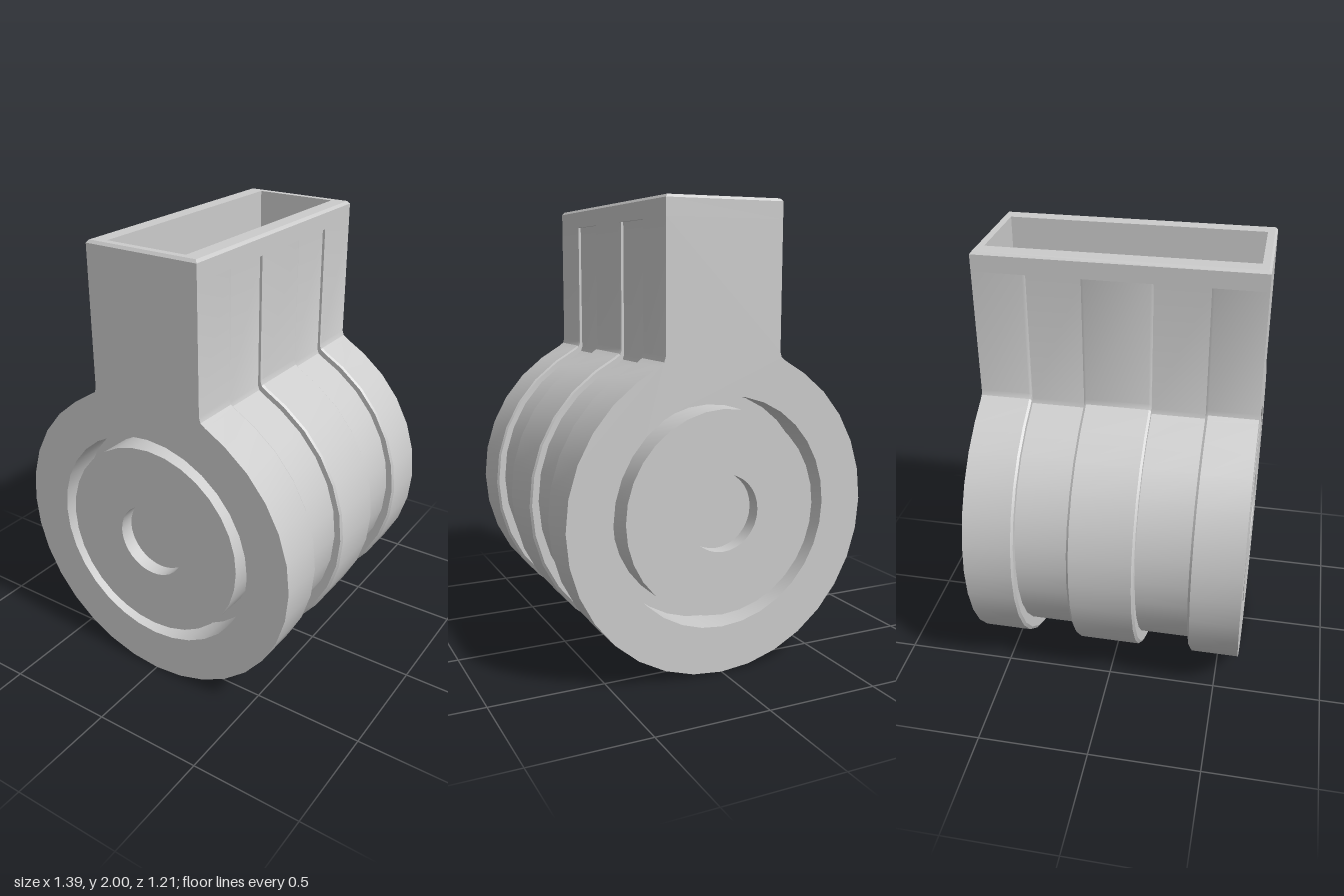
import * as THREE from 'three';
import { toCreasedNormals } from 'three/addons/utils/BufferGeometryUtils.js';

const R = 0.697, HALF = 0.605, COLLAR_Y = 1.915, SEG = 32;
const material = new THREE.MeshStandardMaterial({ color: 0xcccccc });

function part(name, geometry) {
  const mesh = new THREE.Mesh(toCreasedNormals(geometry, 0.5), material);
  mesh.name = name;
  return mesh;
}

// Skin through rows of points; rows may close on themselves
function skin(rows, closed) {
  const n = rows[0].length, index = [];
  for (let r = 0; r < rows.length - 1; r++) {
    for (let i = 0; i < (closed ? n : n - 1); i++) {
      const j = (i + 1) % n;
      const a = r * n + i, b = r * n + j, c = a + n, d = b + n;
      index.push(a, b, c, b, d, c);
    }
  }
  const g = new THREE.BufferGeometry();
  g.setAttribute('position', new THREE.Float32BufferAttribute(rows.flat(2), 3));
  g.setIndex(index);
  return g;
}

// Keyhole outline: neck sides, small fillets and round drum, clockwise from upper right
function outline() {
  const neck = [[0.267, COLLAR_Y], [0.267, 1.37], [0.274, 1.348], [0.295, 1.332]];
  const pts = [...neck];
  for (let k = 5; k >= -21; k--) {
    const a = (k / SEG) * Math.PI * 2;
    pts.push([R * Math.cos(a), R + R * Math.sin(a)]);
  }
  return pts.concat(neck.map(([x, y]) => [-x, y]).reverse());
}

export function createModel() {
  const model = new THREE.Group();
  const profile = outline();

  // Body: three raised bands with chamfered edges, two sunken bands (0 = raised, 1 = sunken)
  const half = [[HALF, 0], [0.39, 0], [0.38, 0.22], [0.38, 1], [0.147, 1], [0.147, 0.22], [0.137, 0]];
  const sections = half.concat(half.map(([z, t]) => [-z, t]).reverse());
  const rows = sections.map(([z, t]) => profile.map(([x, y]) => [
    x * (1 - 0.055 * t),
    y === COLLAR_Y ? y : 1 + (y - 1) * (1 - 0.075 * t),
    z,
  ]));
  model.add(part('bandedBody', skin(rows, false)));

  // Collar at the neck top, with the hollow feed opening
  const levels = [
    [0.19, COLLAR_Y, 0.565], [0.267, COLLAR_Y, HALF], [0.267, 1.988, HALF], [0.257, 2, 0.595],
    [0.19, 2, 0.565], [0.19, 1.3, 0.565], [0, 1.3, 0],
  ];
  const rings = levels.map(([w, y, d]) => [[w, y, d], [w, y, -d], [-w, y, -d], [-w, y, d]]);
  model.add(part('neckCollar', skin(rings, true)));

  // End faces: keyhole plate, ring groove, hub disc and central socket
  const plate = new THREE.Shape(profile.map(([x, y]) => new THREE.Vector2(x, y)));
  const opening = new THREE.Path();
  opening.absarc(0, R + 0.005, 0.497, 0, Math.PI * 2, true);
  plate.holes.push(opening);
  const hubProfile = [
    [0.497, 0], [0.497, -0.15], [0.443, -0.15], [0.443, 0], [0.167, 0], [0.167, -0.065], [0, -0.065],
  ].map(([x, y]) => new THREE.Vector2(x, y));

  for (const side of ['front', 'back']) {
    const end = new THREE.Group();
    end.name = side + 'End';
    const face = part(side + 'Plate', new THREE.ShapeGeometry(plate, SEG / 2));
    const hub = part(side + 'Hub', new THREE.LatheGeometry(hubProfile, SEG).rotateX(Math.PI / 2));
    face.position.z = HALF;
    hub.position.set(0, R + 0.005, HALF);
    end.add(face, hub);
    if (side === 'back') end.rotation.y = Math.PI;
    model.add(end);
  }
  return model;
}
